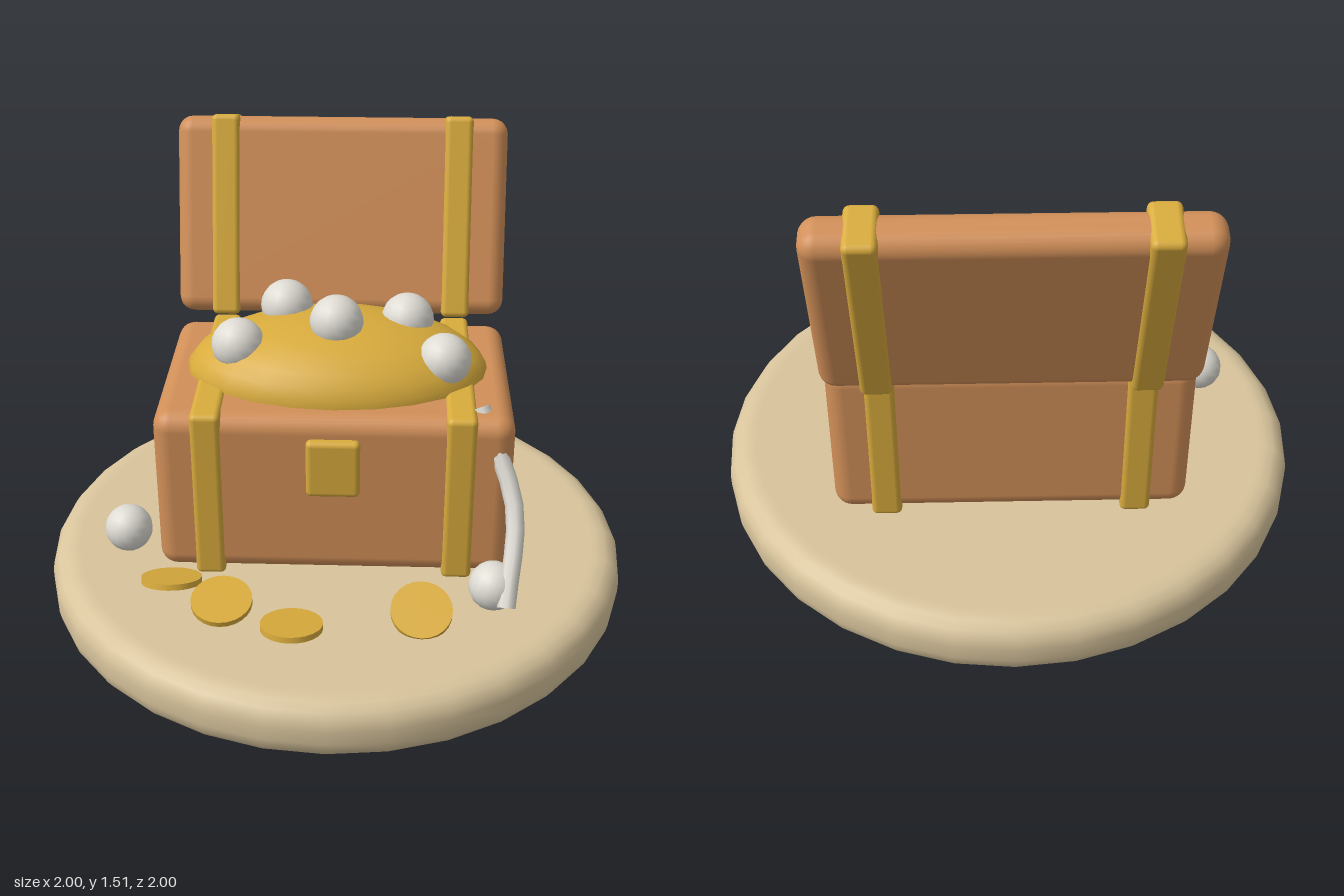
import * as THREE from 'three';
import { RoundedBoxGeometry } from 'three/addons/geometries/RoundedBoxGeometry.js';

function material(name, color, side = THREE.FrontSide) {
  const m = new THREE.MeshStandardMaterial({ color, side });
  m.name = name;
  return m;
}

export function createModel() {
  const wood = material('wood', 0xd18f58);
  const gold = material('gold', 0xd8ab3c);
  const sand = material('sand', 0xd8c49c);
  const pearl = material('pearl', 0xdedbd3, THREE.DoubleSide);

  const model = new THREE.Group();
  model.name = 'treasureChest';

  function add(parent, name, geometry, mat, x = 0, y = 0, z = 0) {
    const mesh = new THREE.Mesh(geometry, mat);
    mesh.name = name;
    mesh.position.set(x, y, z);
    parent.add(mesh);
    return mesh;
  }
  const block = (w, h, d, r) => new RoundedBoxGeometry(w, h, d, 3, r);

  // Round sandy base with a softened rim
  const rim = 0.08, height = 0.205;
  const profile = [new THREE.Vector2(0, 0), new THREE.Vector2(0.9, 0)];
  for (const [centre, start] of [[rim, -Math.PI / 2], [height - rim, 0]]) {
    for (let i = 0; i <= 4; i++) {
      const a = start + (i / 4) * Math.PI / 2;
      profile.push(new THREE.Vector2(1 - rim + rim * Math.cos(a), centre + rim * Math.sin(a)));
    }
  }
  profile.push(new THREE.Vector2(0.9, height), new THREE.Vector2(0, height));
  add(model, 'base', new THREE.LatheGeometry(profile, 32), sand);

  // Chest body and open lid
  const body = new THREE.Group();
  body.name = 'chestBody';
  body.position.set(0, 0.502, -0.085);
  const lid = new THREE.Group();
  lid.name = 'chestLid';
  lid.position.set(0, 1.151, -0.588);
  lid.rotation.x = -0.3;
  model.add(body, lid);
  add(body, 'bodyBox', block(1.175, 0.588, 0.765, 0.06), wood);
  add(lid, 'lidPanel', block(1.175, 0.7, 0.143, 0.055), wood);

  // Gold straps around both halves
  for (const side of [-1, 1]) {
    add(body, 'bodyStrap', block(0.1, 0.61, 0.787, 0.02), gold, side * 0.413);
    add(lid, 'lidStrap', block(0.1, 0.713, 0.168, 0.02), gold, side * 0.413);
  }
  add(model, 'clasp', block(0.176, 0.205, 0.05, 0.018), gold, 0, 0.622, 0.3);

  // Heap of gold
  const heap = add(model, 'goldHeap', new THREE.SphereGeometry(1, 24, 16), gold, 0, 0.782, -0.09);
  heap.scale.set(0.515, 0.2, 0.323);

  // Pearls on the heap, then loose ones on the sand
  const heapPearls = [[0, 0.99, -0.03], [-0.177, 0.965, -0.21], [0.238, 0.945, -0.155],
    [-0.327, 0.915, 0], [0.36, 0.885, 0.033]];
  const heapPearl = new THREE.SphereGeometry(0.09, 16, 12);
  for (const p of heapPearls) add(model, 'heapPearl', heapPearl, pearl, ...p);
  const loosePearl = new THREE.SphereGeometry(0.081, 16, 12);
  for (const p of [[-0.708, 0.29, 0.172], [0.525, 0.29, 0.467]]) {
    add(model, 'loosePearl', loosePearl, pearl, ...p);
  }

  // Strand hanging over the front corner
  const strandPath = new THREE.CatmullRomCurve3([
    new THREE.Vector3(0.475, 0.8, 0.2),
    new THREE.Vector3(0.588, 0.52, 0.36),
    new THREE.Vector3(0.562, 0.262, 0.55),
  ]);
  add(model, 'strand', new THREE.TubeGeometry(strandPath, 8, 0.03, 8), pearl);

  // Coins tipped on the sand: x, z, tilt
  const coin = new THREE.CylinderGeometry(0.1, 0.1, 0.02, 24);
  for (const [x, z, tilt] of [[-0.53, 0.41, -0.33], [-0.352, 0.525, 0.22],
    [-0.118, 0.645, -0.17], [0.293, 0.555, 0.48]]) {
    add(model, 'coin', coin, gold, x, 0.248, z).rotation.x = tilt;
  }

  return model;
}
